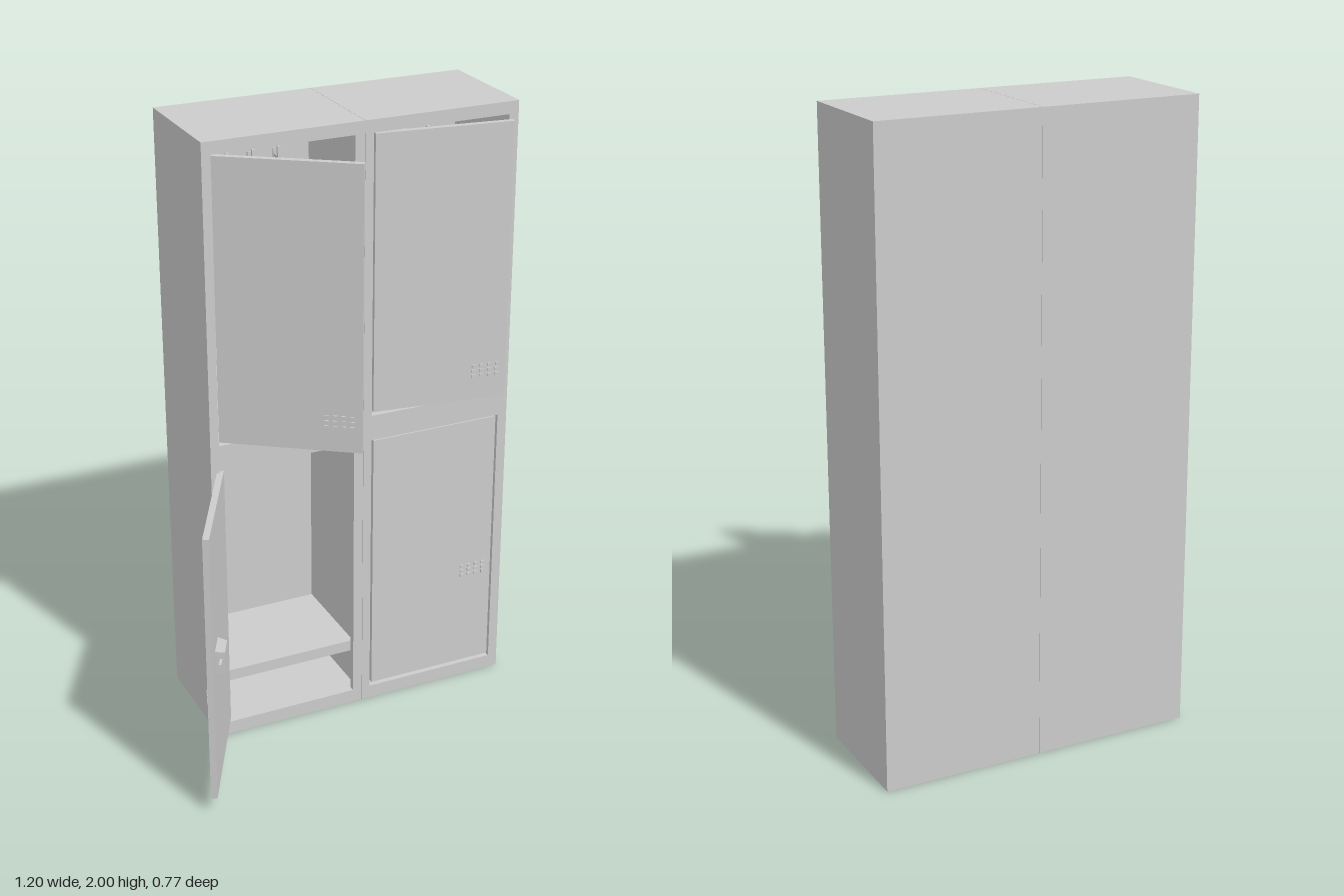
import * as THREE from 'three';

const W = 0.514, H = 1, BACK = -0.385, FRONT = 0.005;
const DOOR_W = 0.44, DOOR_T = 0.02;
const material = new THREE.MeshStandardMaterial({ color: 0xcccccc, flatShading: true });

function add(parent, name, geometry) {
  const mesh = new THREE.Mesh(geometry, material);
  mesh.name = name;
  parent.add(mesh);
  return mesh;
}

// Box given by its minimum and maximum corners
function box(parent, name, x0, x1, y0, y1, z0, z1) {
  const mesh = add(parent, name, new THREE.BoxGeometry(x1 - x0, y1 - y0, z1 - z0));
  mesh.position.set((x0 + x1) / 2, (y0 + y1) / 2, (z0 + z1) / 2);
  return mesh;
}

function rectangle(PathType, x0, x1, y0, y1) {
  return new PathType([[x0, y0], [x1, y0], [x1, y1], [x0, y1]].map(p => new THREE.Vector2(...p)));
}

// Rectangular plate with a rectangular opening
function ring(outer, inner, depth) {
  const shape = rectangle(THREE.Shape, ...outer);
  shape.holes.push(rectangle(THREE.Path, ...inner));
  return new THREE.ExtrudeGeometry(shape, { depth, bevelEnabled: false });
}

function makeDoor(openDegrees, ventY) {
  const door = new THREE.Group();
  door.name = 'door';
  const h = DOOR_T / 2;
  box(door, 'doorPanel', 0, DOOR_W, 0.055, 0.955, -h, h);

  // Louvres in the outer face
  for (let col = 0; col < 4; col++) {
    for (let row = -1; row <= 1; row++) {
      const x = 0.332 + col * 0.026, y = ventY + row * 0.017;
      box(door, 'louvre', x - 0.006, x + 0.006, y - 0.005, y + 0.005, 0, h + 0.005);
    }
  }

  // Lock case with a sloping end, on the inner face
  const profile = new THREE.Shape([[0.3, 0], [0.385, 0], [0.385, 0.03], [0.317, 0.03]]
    .map(p => new THREE.Vector2(...p)));
  const lock = add(door, 'lockCase', new THREE.ExtrudeGeometry(profile, { depth: 0.075, bevelEnabled: false }));
  lock.rotation.x = -Math.PI / 2;
  lock.position.set(0, 0.47, -h);
  // The profile's second axis now points into the locker
  box(door, 'lockTongue', 0.38, 0.418, 0.492, 0.522, -h - 0.022, -h - 0.014);

  door.position.set(-W / 2 + 0.037, 0, -0.009);
  door.rotation.y = -THREE.MathUtils.degToRad(openDegrees);
  return door;
}

function makeLocker(openDegrees, ventY) {
  const locker = new THREE.Group();
  locker.name = 'locker';
  const x = W / 2, wall = 0.012, inner = x - wall, back = BACK + wall;

  // Shell
  box(locker, 'backPanel', -x, x, 0, H, BACK, back);
  for (const side of [-1, 1]) {
    const [a, b] = side < 0 ? [-x, -inner] : [inner, x];
    box(locker, 'sideWall', a, b, 0, H, back, FRONT - 0.02);
  }
  box(locker, 'topPanel', -inner, inner, H - 0.035, H, back, FRONT - 0.02);
  box(locker, 'floorPanel', -inner, inner, 0.035, 0.045, back, FRONT - 0.02);
  const frame = add(locker, 'frontFrame', ring([-x, x, 0, H], [-x + 0.028, x - 0.032, 0.045, 0.96], 0.02));
  frame.position.z = FRONT - 0.02;

  // Rim around the recessed underside
  const rim = add(locker, 'baseRim', ring([-inner, inner, -FRONT + 0.02, -back],
    [-x + 0.03, x - 0.03, 0.025, -BACK - 0.03], 0.035));
  rim.rotation.x = -Math.PI / 2;

  // Shelf, hook rail and hooks
  box(locker, 'shelf', -inner, inner, 0.172, 0.21, back, -0.04);
  box(locker, 'hookRail', -0.197, 0.197, 0.795, 0.865, back, back + 0.006);
  for (let i = 0; i < 4; i++) {
    const hx = (i - 1.5) * 0.086;
    box(locker, 'hookPlate', hx - 0.009, hx + 0.009, 0.802, 0.832, back, back + 0.012);
    box(locker, 'hookArm', hx - 0.006, hx + 0.006, 0.805, 0.815, back, back + 0.04);
    box(locker, 'hookTip', hx - 0.006, hx + 0.006, 0.805, 0.845, back + 0.032, back + 0.04);
  }

  locker.add(makeDoor(openDegrees, ventY));
  return locker;
}

export function createModel() {
  const model = new THREE.Group();
  model.name = 'lockerBlock';
  // Column, row, door angle, louvre height
  for (const [col, row, angle, ventY] of [
    [0, 0, 117.5, 0.405], [1, 0, 0, 0.405], [0, 1, 35, 0.152], [1, 1, 7.5, 0.152],
  ]) {
    const locker = makeLocker(angle, ventY);
    locker.position.set(-0.177 + col * 0.515, row, 0);
    model.add(locker);
  }
  return model;
}
